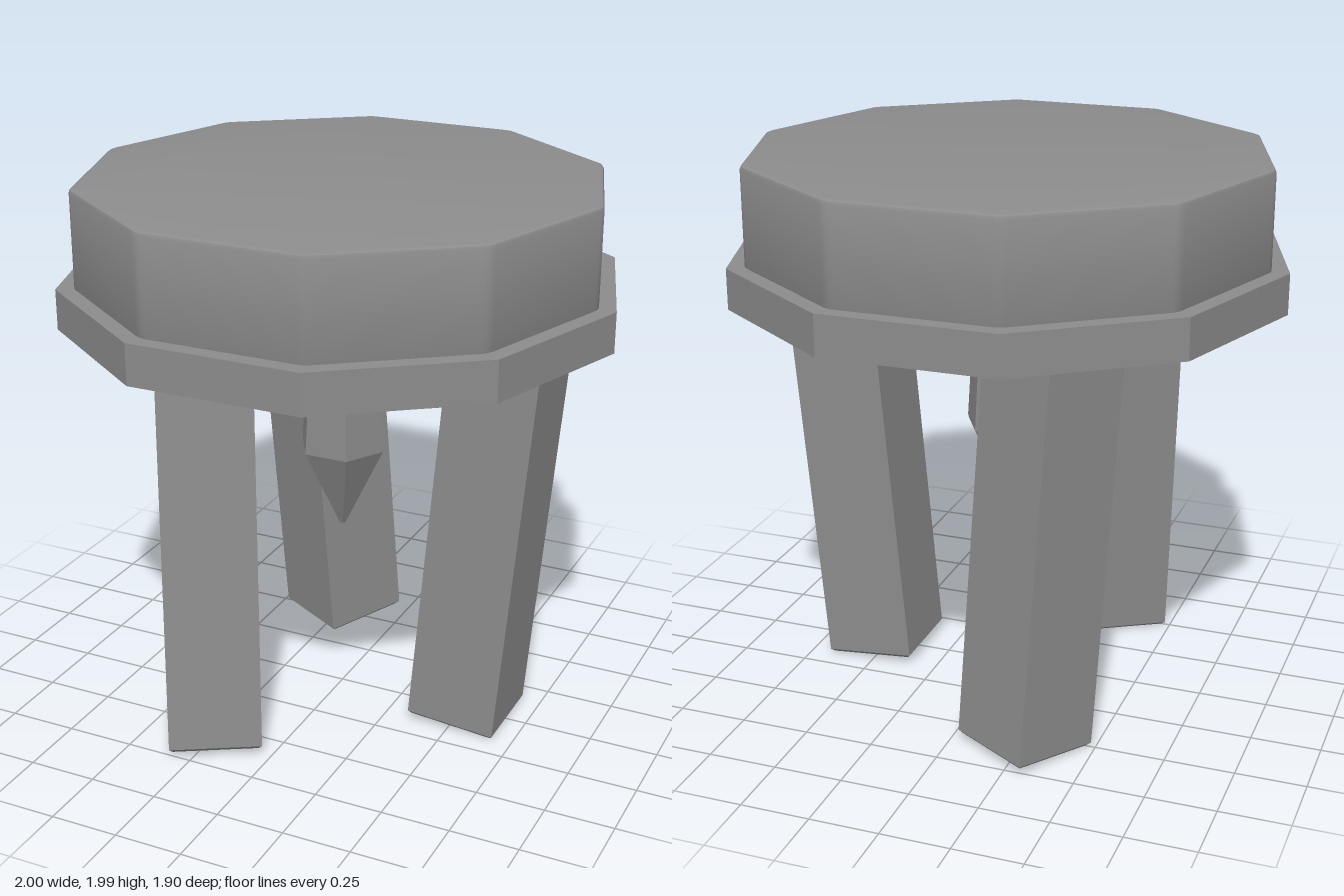
import * as THREE from 'three';
import { toCreasedNormals } from 'three/addons/utils/BufferGeometryUtils.js';

// Straight-sided solid turned from a [radius, y] profile (listed bottom to top).
function prism(sides, profile, phiStart) {
  const pts = profile.map(([r, y]) => new THREE.Vector2(r, y));
  const g = new THREE.LatheGeometry(pts, sides, phiStart);
  return toCreasedNormals(g, 0.3);
}

// Regular polygon outline with softly rounded corners.
function roundedPolygon(sides, radius, cut) {
  const corner = (i) => new THREE.Vector2(
    radius * Math.cos((i * 2 * Math.PI) / sides),
    radius * Math.sin((i * 2 * Math.PI) / sides));
  const shape = new THREE.Shape();
  for (let i = 0; i < sides; i++) {
    const c = corner(i);
    const side = 2 * radius * Math.sin(Math.PI / sides);
    const a = c.clone().lerp(corner(i - 1), cut / side);
    const b = c.clone().lerp(corner(i + 1), cut / side);
    if (i === 0) shape.moveTo(a.x, a.y);
    else shape.lineTo(a.x, a.y);
    shape.quadraticCurveTo(c.x, c.y, b.x, b.y);
  }
  shape.closePath();
  return shape;
}

export function createModel() {
  const model = new THREE.Group();
  const grey = new THREE.MeshStandardMaterial({ color: 0x8c8c8c });
  grey.name = 'grey';

  const add = (name, geometry, parent = model) => {
    const mesh = new THREE.Mesh(geometry, grey);
    mesh.name = name;
    parent.add(mesh);
    return mesh;
  };

  // Wide ten-sided rim, corners on the x axis
  add('rim', prism(10, [[0, 1.495], [1, 1.495], [1, 1.64], [0, 1.64]], Math.PI / 2));

  // Thick seat block with eased edges
  const bevel = 0.015;
  const seat = new THREE.ExtrudeGeometry(roundedPolygon(10, 0.938 - bevel, 0.02), {
    depth: 0.36, bevelEnabled: true, bevelThickness: bevel, bevelSize: bevel,
    bevelSegments: 2, curveSegments: 4,
  });
  seat.rotateX(-Math.PI / 2);
  seat.translate(0, 1.615, 0);
  add('seat', toCreasedNormals(seat, 0.5));

  // Six-sided spike hanging under the seat
  add('spike', prism(6, [
    [0, 0.67], [0.012, 0.674], [0.162, 0.985], [0.162, 1.0], [0.13, 1.5], [0, 1.5],
  ], Math.PI / 2));

  // Three square legs, each leaning five degrees, with a small bevel at the foot
  const half = 0.166, b = 0.013, diag = Math.SQRT2;
  const legShape = prism(4, [
    [0, -0.74], [(half - b) * diag, -0.74], [half * diag, -0.74 + b],
    [half * diag, 0.8], [0, 0.8],
  ], Math.PI / 4);
  const legs = new THREE.Group();
  legs.name = 'legs';
  model.add(legs);
  for (let i = 0; i < 3; i++) {
    const a = (i * 2 * Math.PI) / 3;
    const leg = add('leg' + (i + 1), legShape, legs);
    leg.position.set(0.575 * Math.cos(a), 0.75, 0.575 * Math.sin(a));
    leg.rotation.set(0, a, -THREE.MathUtils.degToRad(5));
  }
  return model;
}
